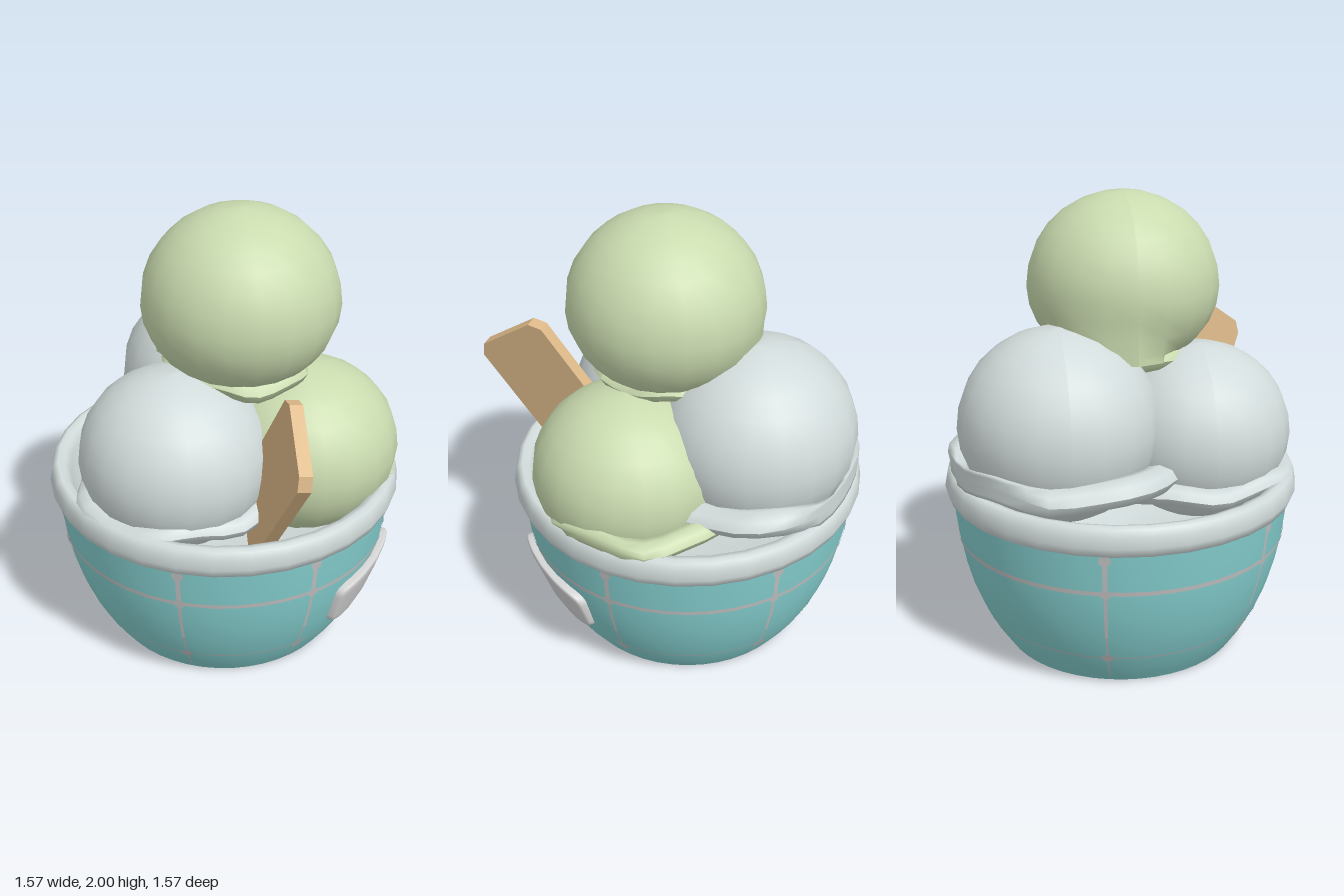
import * as THREE from 'three';

const mat = (name, color, side = THREE.FrontSide) => {
  const m = new THREE.MeshStandardMaterial({ color, side });
  m.name = name;
  return m;
};

export function createModel() {
  const teal = mat('teal glaze', 0x86d0d0);
  const white = mat('white glaze', 0xd3dcdc);
  const vanilla = mat('vanilla white', 0xd2dbdb);
  const green = mat('pale green', 0xcadbaf);
  const wood = mat('wafer tan', 0xdcb888);
  const grey = mat('handle grey', 0xd6d6d6);
  const lineMat = mat('line grey', 0xc2c2c2, THREE.DoubleSide);

  const model = new THREE.Group();
  model.name = 'iceCreamBowl';
  const add = (name, geo, material, parent = model) => {
    const mesh = new THREE.Mesh(geo, material);
    mesh.name = name;
    parent.add(mesh);
    return mesh;
  };
  const vecs = (pts) => pts.map(([x, y]) => new THREE.Vector2(x, y));
  const moveVertices = (geo, rule) => {
    const p = geo.attributes.position, v = new THREE.Vector3();
    for (let i = 0; i < p.count; i++) {
      rule(v.fromBufferAttribute(p, i));
      p.setXYZ(i, v.x, v.y, v.z);
    }
    geo.computeVertexNormals();
    return geo;
  };

  // Bowl wall, underside and rim
  const wall = [[0.53, 0], [0.55, 0.03], [0.59, 0.09], [0.637, 0.18], [0.68, 0.29],
    [0.71, 0.4], [0.732, 0.515], [0.752, 0.69]];
  const wallRadius = (y) => {
    let i = 1;
    while (i < wall.length - 1 && wall[i][1] < y) i++;
    const [r0, y0] = wall[i - 1], [r1, y1] = wall[i];
    return r0 + (r1 - r0) * (y - y0) / (y1 - y0);
  };
  add('bowlWall', new THREE.LatheGeometry(vecs(wall), 48), teal);
  add('bowlBase', new THREE.CircleGeometry(0.53, 48).rotateX(Math.PI / 2), teal);
  add('bowlRim', new THREE.LatheGeometry(vecs([[0.745, 0.69], [0.768, 0.695], [0.783, 0.735],
    [0.775, 0.78], [0.765, 0.81], [0.745, 0.82], [0.715, 0.812], [0.69, 0.775],
    [0.67, 0.68], [0.6, 0.5], [0, 0.45]]), 32), white);

  // Painted grid lines on the wall
  const lines = new THREE.Group();
  lines.name = 'paintedLines';
  model.add(lines);
  const strip = (name, ys, start, length, segments) => add(name, new THREE.LatheGeometry(
    vecs(ys.map((y) => [wallRadius(y) + 0.004, y])), segments, start, length), lineMat, lines);
  strip('upperRing', [0.506, 0.526], 0, Math.PI * 2, 48);
  strip('lowerRing', [0.161, 0.168], 0, Math.PI * 2, 48);
  for (const degrees of [11, 56, 123, 180, 256, 316]) {
    const a = THREE.MathUtils.degToRad(degrees);
    strip('lineTop', [0.515, 0.6, 0.69], a - 0.014, 0.028, 1);
    strip('lineMiddle', [0.29, 0.4, 0.515], a - 0.01, 0.02, 1);
    strip('lineBottom', [0.03, 0.09, 0.18, 0.29], a - 0.006, 0.012, 1);
    for (const [y, size] of [[0.165, 0.027], [0.515, 0.024], [0.67, 0.026]]) {
      const slope = (wallRadius(y + 0.02) - wallRadius(y - 0.02)) / 0.04;
      const r = wallRadius(y) + 0.006;
      const dot = add('lineCrossing', new THREE.CircleGeometry(size, 8), lineMat, lines);
      dot.position.set(Math.sin(a) * r, y, Math.cos(a) * r);
      dot.lookAt(Math.sin(a) * (r + 1), y - slope, Math.cos(a) * (r + 1));
    }
  }

  // Side handle: a rounded block bent around the wall
  const soft = (t) => Math.sign(t) * Math.pow(Math.abs(t), 0.38);
  add('handle', moveVertices(new THREE.SphereGeometry(1, 40, 20), (v) => {
    const ring = Math.hypot(v.x, v.z) || 1e-6;
    const k = soft(ring);
    const y = soft(v.y) * 0.123;
    const z = soft(v.z / ring) * k * (0.265 + y * 0.1);
    const x = soft(v.x / ring) * k * 0.032;
    v.set(0.688 + x + y * 0.34 - z * z * 0.55, 0.343 + y, z);
  }), grey);

  // Scoops
  const scoop = (name, material, c, r, rule) => {
    const geo = new THREE.SphereGeometry(1, 20, 14);
    return add(name, moveVertices(geo, (v) => {
      if (rule) rule(v);
      v.set(c[0] + v.x * r[0], c[1] + v.y * r[1], c[2] + v.z * r[2]);
    }), material);
  };
  scoop('frontScoop', vanilla, [-0.07, 0.97, 0.33], [0.415, 0.39, 0.41]);
  scoop('backScoop', vanilla, [-0.17, 1.06, -0.29], [0.44, 0.42, 0.435]);
  scoop('sideScoop', green, [0.34, 0.92, -0.09], [0.42, 0.38, 0.42]);
  // Top scoop keeps a straight, cut-off flank toward the left rear
  scoop('topScoop', green, [0.09, 1.6, 0.025], [0.42, 0.4, 0.42], (v) => {
    const ring = Math.hypot(v.x, v.z);
    if (v.y >= 0) return;
    v.y *= 0.92;
    if (ring < 0.2) return;
    const w = Math.max(0, (-0.95 * v.x - 0.3 * v.z) / ring);
    const k = Math.max(ring, Math.min(1, w * 1.1) * 0.97) / ring;
    v.x *= k;
    v.z *= k;
    v.y = Math.max(v.y, -0.92 + 0.27 * Math.sqrt(w));
  });

  // Wavy squeezed-out edges under the scoops, kept within the rim
  const skirt = (name, material, c, radius, tube, seed) => {
    const geo = new THREE.TorusGeometry(radius, tube, 8, 30).rotateX(Math.PI / 2);
    add(name, moveVertices(geo, (v) => {
      const a = Math.atan2(v.z, v.x);
      const k = 1 + 0.04 * Math.sin(3 * a + seed) + 0.025 * Math.sin(7 * a + seed * 2);
      v.set(c[0] + v.x * k, c[1] + v.y * 0.75 + 0.014 * Math.sin(5 * a + seed), c[2] + v.z * k);
      const limit = Math.min(1, 0.765 / Math.hypot(v.x, v.z));
      v.x *= limit;
      v.z *= limit;
    }), material);
  };
  skirt('backScoopEdge', vanilla, [-0.17, 0.89, -0.29], 0.45, 0.075, 1);
  skirt('frontScoopEdge', vanilla, [-0.08, 0.8, 0.3], 0.39, 0.06, 2.5);
  skirt('sideScoopEdge', green, [0.3, 0.83, -0.16], 0.39, 0.06, 4);
  skirt('topScoopEdge', green, [0.08, 1.31, 0.03], 0.24, 0.07, 0.5);

  // Wafer: a slanted slab with clipped corners
  const w = 0.195, cut = 0.045;
  const outline = new THREE.Shape(vecs([[-w, -0.8], [w, -0.8], [w, -cut], [w - cut, 0],
    [cut - w, 0], [-w, -cut]]));
  const wafer = add('wafer', new THREE.ExtrudeGeometry(outline, { depth: 0.055, bevelEnabled: false })
    .translate(0, 0, -0.0275), wood);
  const across = new THREE.Vector3(0.17, -0.21, 0.27).normalize();
  const face = across.clone().cross(new THREE.Vector3(0.21, 0.37, 0.2)).normalize();
  const up = face.clone().cross(across);
  wafer.quaternion.setFromRotationMatrix(new THREE.Matrix4().makeBasis(across, up, face));
  wafer.position.set(0.59, 1.335, 0.56);

  return model;
}
